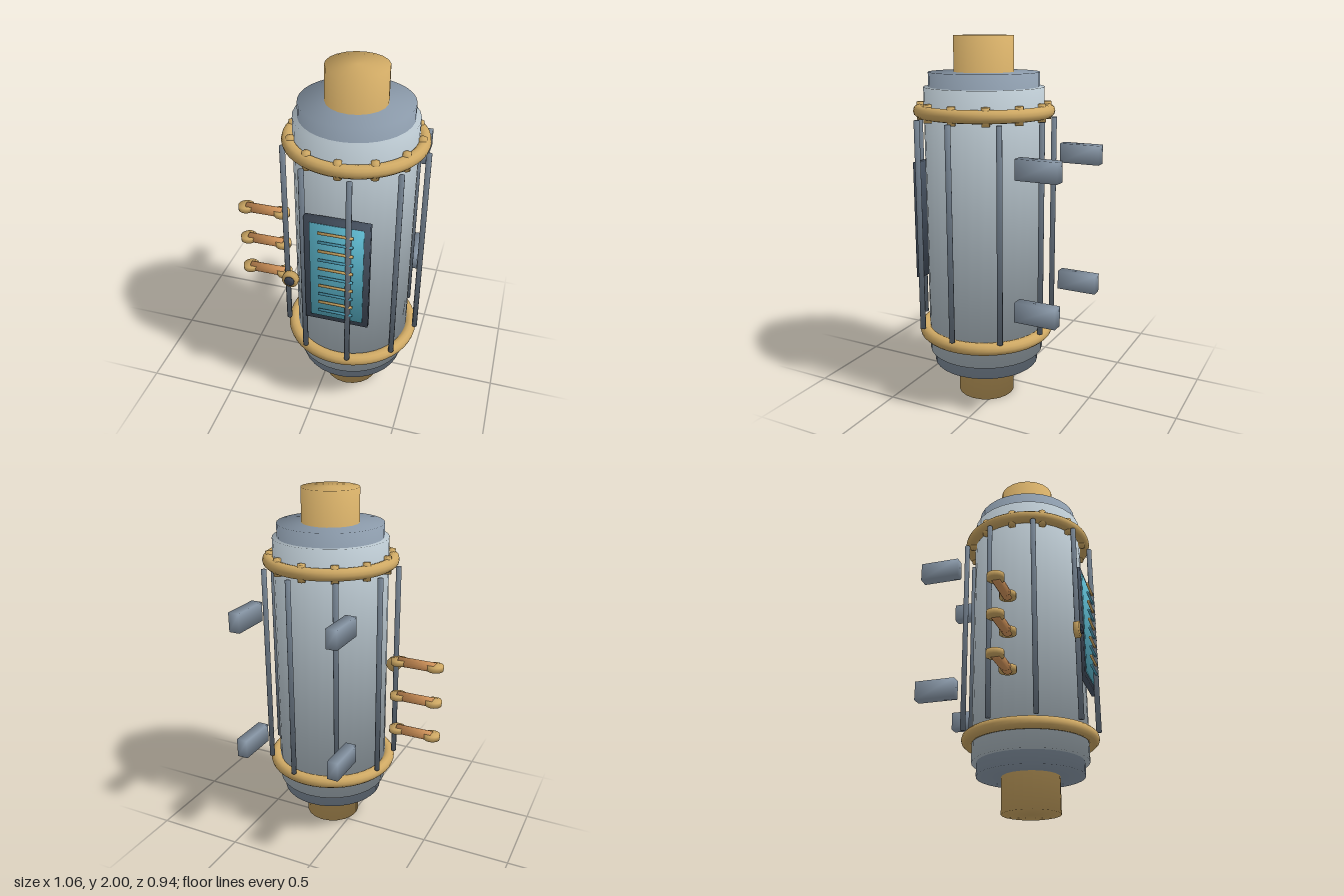
import * as THREE from 'three';

const mat = (name, color) => {
  const m = new THREE.MeshStandardMaterial({ color });
  m.name = name;
  return m;
};

// Shared soft normals: rims and corners blend between neighbouring faces
function soften(geo, hx, hy, hz) {
  const p = geo.attributes.position, n = geo.attributes.normal;
  const v = new THREE.Vector3();
  for (let i = 0; i < p.count; i++) {
    v.set(p.getX(i) / hx, p.getY(i) / hy, p.getZ(i) / hz).normalize();
    n.setXYZ(i, v.x, v.y, v.z);
  }
  return geo;
}
const softCylinder = (r, h, sides) =>
  soften(new THREE.CylinderGeometry(r, r, h, sides), r, h / 2, r);
const softBox = (w, h, d) =>
  soften(new THREE.BoxGeometry(w, h, d), w / 2, h / 2, d / 2);

export function createModel() {
  const paleMetal = mat('pale metal', 0xb6c3cb);
  const steel = mat('blue steel', 0x8a99a9);
  const brass = mat('brass', 0xcfa964);
  const copper = mat('copper', 0xd09259);
  const rodMetal = mat('rod metal', 0x6f7c8a);
  const frameMetal = mat('dark frame', 0x465160);
  const glass = mat('cyan glass', 0x5cb6cc);
  const tealMark = mat('teal mark', 0x4f9fb8);
  const darkKnob = mat('dark knob', 0x3e4656);

  const model = new THREE.Group();
  model.name = 'pressureTank';
  const tank = new THREE.Group();
  tank.name = 'tank';
  tank.position.set(0.1425, 0, 0.084); // tank axis sits off centre
  model.add(tank);

  const add = (parent, name, geo, material, x, y, z) => {
    const mesh = new THREE.Mesh(geo, material);
    mesh.name = name;
    mesh.position.set(x, y, z);
    parent.add(mesh);
    return mesh;
  };

  // Nested cylinders: main shell, stepped end caps, central pipe
  add(tank, 'shell', softCylinder(0.319, 1.468, 32), paleMetal, 0, 1.004, 0);
  add(tank, 'endCaps', softCylinder(0.293, 1.618, 32), steel, 0, 1.005, 0);
  add(tank, 'centralPipe', softCylinder(0.159, 2, 20), brass, 0, 1, 0);

  // Brass rings
  const ringGeo = new THREE.TorusGeometry(0.342, 0.034, 12, 48);
  for (const y of [0.394, 1.614])
    add(tank, 'ring', ringGeo, brass, 0, y, 0).rotation.x = Math.PI / 2;

  // Bolts through the upper ring
  const boltGeo = softCylinder(0.021, 0.094, 12);
  for (let i = 0; i < 12; i++) {
    const a = i * Math.PI / 6;
    add(tank, 'bolt', boltGeo, brass, 0.336 * Math.cos(a), 1.613, 0.336 * Math.sin(a));
  }

  // Nine tie rods around the shell
  const rodGeo = softCylinder(0.015, 1.145, 10);
  for (let i = 0; i < 9; i++) {
    const a = i * Math.PI * 2 / 9;
    add(tank, 'tieRod', rodGeo, rodMetal, 0.373 * Math.cos(a), 1.003, 0.373 * Math.sin(a));
  }

  // Front sight window with level marks
  add(tank, 'windowFrame', softBox(0.342, 0.655, 0.03), frameMetal, 0, 1.003, 0.335);
  add(tank, 'windowGlass', softBox(0.281, 0.595, 0.008), glass, 0, 1.003, 0.352);
  const markGeo = softCylinder(0.0075, 0.182, 8);
  for (let i = 0; i < 10; i++)
    add(tank, 'levelMark', markGeo, i % 2 ? tealMark : brass, 0, 1.26 - i * 0.0556, 0.373)
      .rotation.z = Math.PI / 2;

  // Rear wall brackets
  const bracketGeo = softBox(0.062, 0.106, 0.225);
  for (const side of [-1, 1])
    for (const y of [0.636, 1.372])
      add(tank, 'bracket', bracketGeo, steel, side * 0.279, y, -0.4465);

  // Copper handles with brass end discs on the right side
  const barGeo = softCylinder(0.028, 0.21, 14);
  const discGeo = softCylinder(0.046, 0.03, 18);
  for (const y of [0.653, 0.864, 1.075]) {
    add(model, 'handleBar', barGeo, copper, -0.38, y, 0.084).rotation.z = Math.PI / 2;
    for (const x of [-0.487, -0.276])
      add(model, 'handleDisc', discGeo, brass, x, y, 0.084);
  }

  // Front valve knob
  add(model, 'knobBase', softCylinder(0.045, 0.029, 20), brass, -0.114, 0.902, 0.42)
    .rotation.x = Math.PI / 2;
  add(model, 'knobCentre', softCylinder(0.027, 0.009, 16), darkKnob, -0.114, 0.902, 0.443)
    .rotation.x = Math.PI / 2;

  return model;
}
